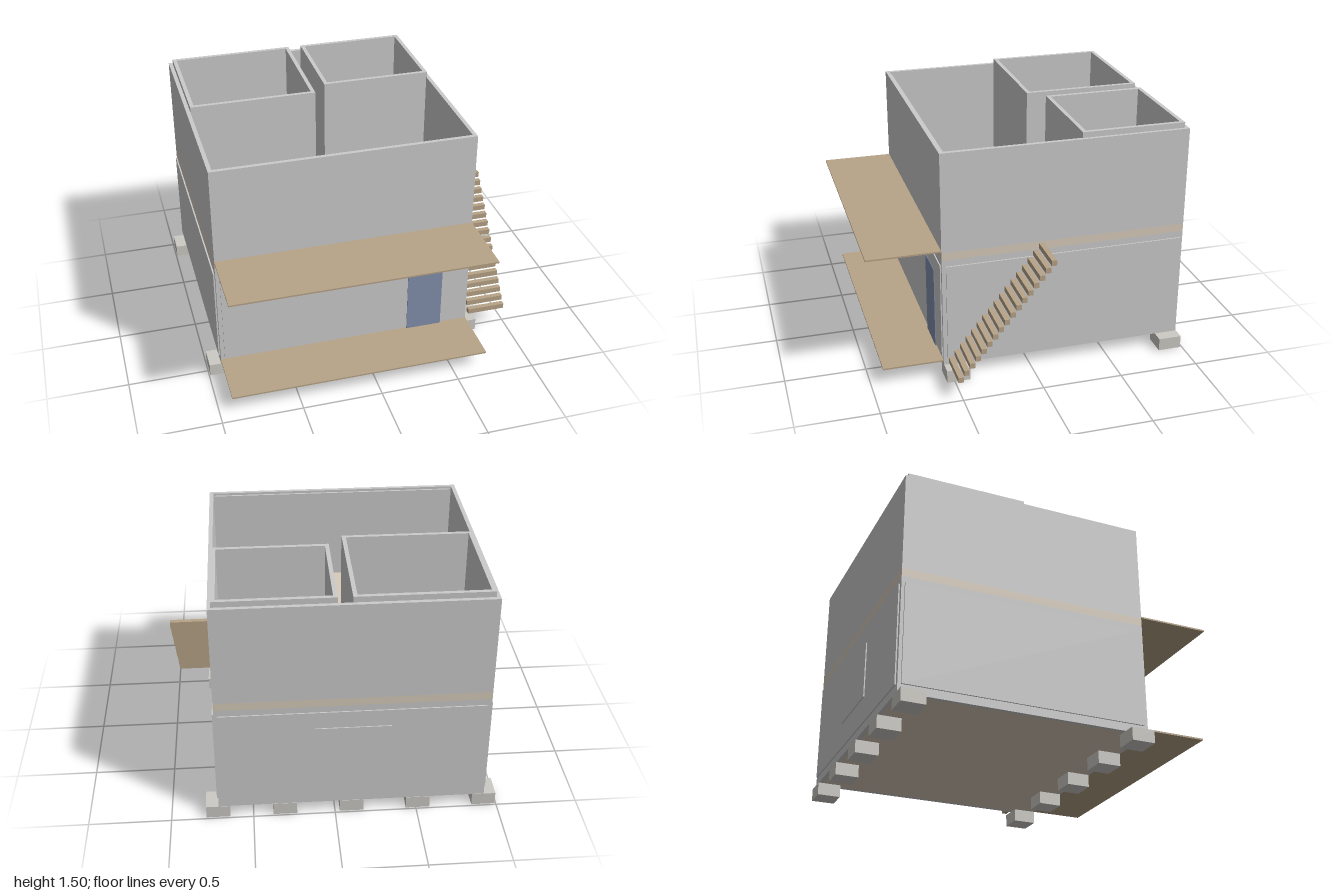
import * as THREE from 'three';

const grey = new THREE.MeshStandardMaterial({ color: 0xcccccc });
const tint = (color) => new THREE.MeshStandardMaterial({ color });
const wood = tint(0xb8a488), plaster = tint(0xd8ccbc), stone = tint(0xcccac4), blue = tint(0x8290ad);

// Box given by its extents on each axis
function block(parent, name, [x0, x1], [y0, y1], [z0, z1], material = grey) {
  const mesh = new THREE.Mesh(new THREE.BoxGeometry(x1 - x0, y1 - y0, z1 - z0), material);
  mesh.position.set((x0 + x1) / 2, (y0 + y1) / 2, (z0 + z1) / 2);
  mesh.name = name;
  parent.add(mesh);
  return mesh;
}

// Rectangular ring of walls, open at top and bottom
function wallRing(parent, name, [x0, x1], [y0, y1], [z0, z1], t = 0.025) {
  const rect = (C, a, b, c, d) => new C([[a, c], [b, c], [b, d], [a, d]].map(([x, y]) => new THREE.Vector2(x, y)));
  const shape = rect(THREE.Shape, x0, x1, -z1, -z0);
  shape.holes.push(rect(THREE.Path, x0 + t, x1 - t, -z1 + t, -z0 - t));
  const geometry = new THREE.ExtrudeGeometry(shape, { depth: y1 - y0, bevelEnabled: false });
  geometry.rotateX(-Math.PI / 2);
  const mesh = new THREE.Mesh(geometry, grey);
  mesh.position.y = y0;
  mesh.name = name;
  parent.add(mesh);
}

export function createModel() {
  const house = new THREE.Group();
  house.name = 'house';
  const X = [-0.92, 0.71], Z = [-0.985, 0.55];

  // Two rows of foundation blocks
  const footings = new THREE.Group();
  footings.name = 'footings';
  for (let i = 0; i < 5; i++) {
    const x = -0.92 + i * 0.4087;
    for (const z of [-0.915, 0.475]) {
      block(footings, 'footing', [x - 0.073, x + 0.073], [0, 0.08], [z - 0.073, z + 0.073], stone);
    }
  }
  house.add(footings);

  // Storeys and floor slabs
  wallRing(house, 'lowerWalls', X, [0.08, 0.79], Z);
  block(house, 'groundFloor', [X[0] + 0.025, X[1] - 0.025], [0.08, 0.11], [Z[0] + 0.025, Z[1] - 0.025], plaster);
  block(house, 'upperFloor', X, [0.79, 0.84], Z, plaster);
  wallRing(house, 'upperWalls', X, [0.84, 1.465], Z);

  // Upstairs rooms rise slightly above the outer walls
  wallRing(house, 'leftRoomWalls', [-0.895, -0.095], [0.84, 1.5], [-0.96, -0.215]);
  wallRing(house, 'rightRoomWalls', [-0.01, 0.69], [0.84, 1.5], [-0.96, -0.315]);
  block(house, 'innerFrontPanel', [-0.89, 0.68], [1.08, 1.45], [0.512, 0.525]);

  // Thin cladding around the lower storey
  const py = [0.13, 0.75], px = [-0.895, 0.69], pz = [-0.965, 0.525];
  block(house, 'frontPanel', px, py, [0.55, 0.557]);
  block(house, 'backPanel', px, py, [-0.993, -0.985]);
  block(house, 'leftPanel', [0.71, 0.719], py, pz);
  block(house, 'rightPanel', [-0.929, -0.92], py, pz);

  // Door and back window
  block(house, 'door', [0.3, 0.53], [0.115, 0.645], [0.55, 0.561], blue);
  block(house, 'backWindow', [-0.33, 0.12], [0.29, 0.64], [-1, -0.993]);

  // Front terrace and balcony
  block(house, 'terrace', X, [0.105, 0.115], [0.55, 0.925], wood);
  block(house, 'balcony', X, [0.845, 0.855], [0.55, 1], wood);

  // Open outside stairs
  const stairs = new THREE.Group();
  stairs.name = 'stairs';
  for (let i = 0; i < 17; i++) {
    const y = 0.135 + i * 0.0434, z = 0.51 - i * 0.0353;
    block(stairs, 'step', [0.743, 0.99], [y - 0.017, y + 0.017], [z - 0.016, z + 0.016], wood);
  }
  house.add(stairs);

  return house;
}
